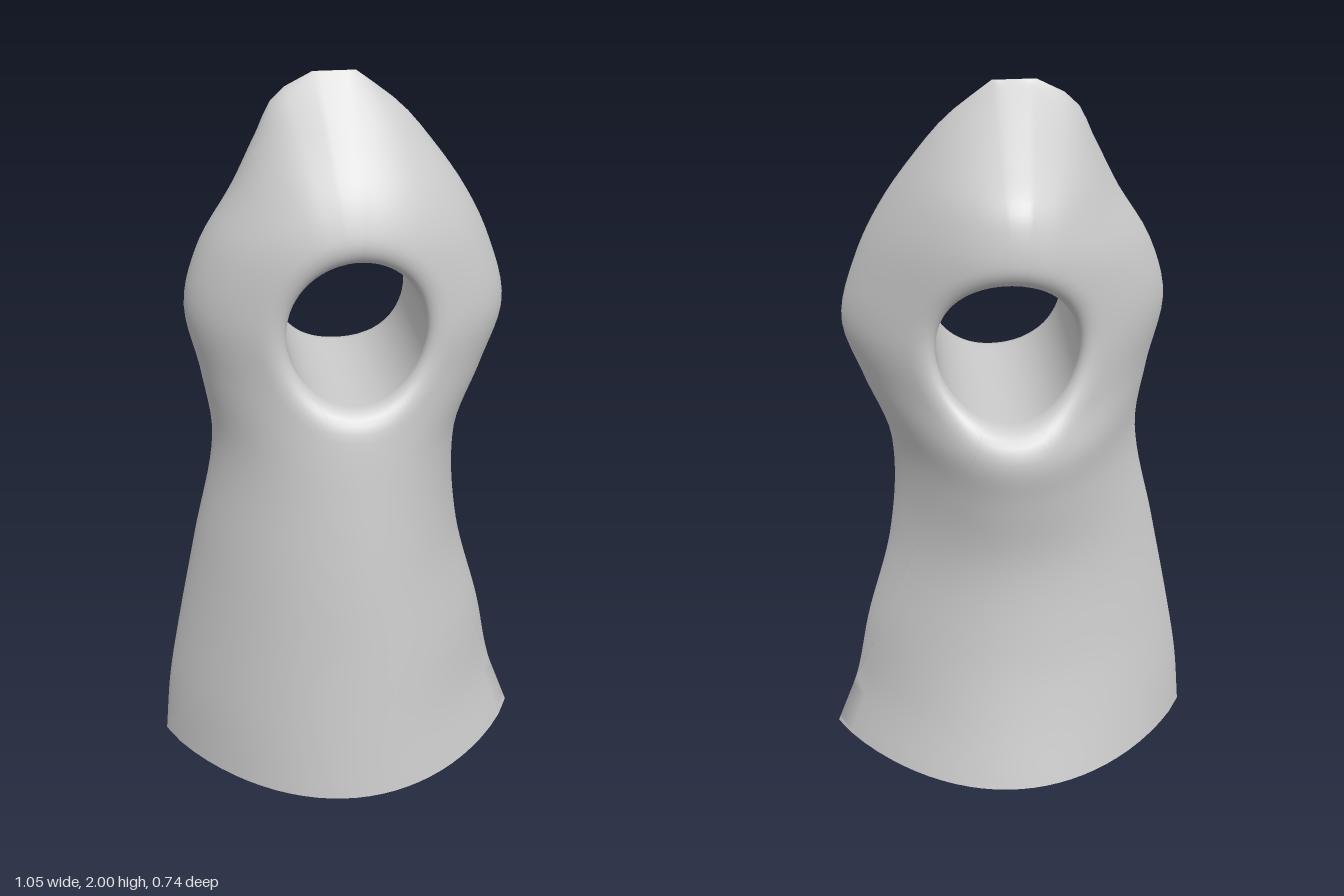
import * as THREE from 'three';
import { mergeVertices } from 'three/addons/utils/BufferGeometryUtils.js';

// Smooth curve through [y, value] pairs
function profile(pts) {
  const slope = (i) => {
    const a = pts[Math.max(i - 1, 0)], b = pts[Math.min(i + 1, pts.length - 1)];
    return (b[1] - a[1]) / (b[0] - a[0]);
  };
  return (y) => {
    let i = 0;
    while (i < pts.length - 2 && y > pts[i + 1][0]) i++;
    const [y0, v0] = pts[i], [y1, v1] = pts[i + 1], h = y1 - y0;
    const t = THREE.MathUtils.clamp((y - y0) / h, 0, 1), t2 = t * t, t3 = t2 * t;
    return (2 * t3 - 3 * t2 + 1) * v0 + (t3 - 2 * t2 + t) * h * slope(i)
      + (3 * t2 - 2 * t3) * v1 + (t3 - t2) * h * slope(i + 1);
  };
}

// Silhouette edges and centre-line depths by height
const rightEdge = profile([[0, -0.53], [0.2, -0.51], [0.4, -0.475], [0.7, -0.415], [1, -0.355], [1.2, -0.378],
  [1.4, -0.415], [1.57, -0.37], [1.72, -0.28], [1.85, -0.215], [1.95, -0.16], [2, -0.07]]);
const leftEdge = profile([[0, 0.525], [0.18, 0.46], [0.4, 0.415], [0.7, 0.338], [1, 0.322], [1.2, 0.39],
  [1.37, 0.44], [1.55, 0.395], [1.7, 0.32], [1.85, 0.21], [1.92, 0.145], [2, 0.04]]);
const frontDepth = profile([[0, 0.375], [0.4, 0.34], [0.7, 0.315], [1, 0.28], [1.2, 0.25], [1.4, 0.245],
  [1.6, 0.24], [1.72, 0.2], [1.85, 0.11], [2, 0]]);
const backDepth = profile([[0, -0.37], [0.2, -0.315], [0.4, -0.275], [0.7, -0.255], [0.95, -0.3], [1.08, -0.328],
  [1.2, -0.3], [1.4, -0.285], [1.63, -0.312], [1.72, -0.3], [1.78, -0.27], [1.85, -0.19], [1.93, -0.09], [2, 0]]);

const HOLE = { x: 0.02, y: 1.365, rx: 0.183, ry: 0.2 };
const RIM = 0.07;

// Lens-shaped section depth, softened toward the hole (d = distance from its edge)
function depth(x, y, d, front) {
  const s = Math.min(1, x < 0 ? x / rightEdge(y) : x / leftEdge(y));
  const mid = -0.02 * Math.max(0, 1 - y / 1.4);
  const q = front ? THREE.MathUtils.lerp(0.85, 0.62, Math.min(1, y / 1.2)) : 0.88;
  const lens = Math.pow(Math.max(0, 1 - s * s), q);
  const k = Math.max(0, 1 - d / RIM);
  const rim = 1 - 0.22 * (1 - Math.sqrt(1 - k * k));
  return mid + ((front ? frontDepth(y) : backDepth(y)) - mid) * lens * rim;
}

// Outline, anticlockwise: foot, left side, crown, right side
function outline() {
  const pts = [], n = 56, foot = 28, crown = 6;
  for (let i = 0; i < foot; i++) pts.push([THREE.MathUtils.lerp(rightEdge(0), leftEdge(0), i / foot), 0]);
  for (let i = 0; i < n; i++) pts.push([leftEdge(2 * i / n), 2 * i / n]);
  for (let i = 0; i < crown; i++) pts.push([THREE.MathUtils.lerp(leftEdge(2), rightEdge(2), i / crown), 2]);
  for (let i = n; i > 0; i--) pts.push([rightEdge(2 * i / n), 2 * i / n]);
  return pts;
}

export function createModel() {
  const edge = outline(), N = edge.length, M = 36, WALL = 8;

  // Each column runs from the hole over the front, round the outline, over the back and through the hole
  const columns = edge.map(([ex, ey]) => {
    const dx = ex - HOLE.x, dy = ey - HOLE.y;
    const r = 1 / Math.hypot(dx / HOLE.rx, dy / HOLE.ry);
    const hx = HOLE.x + dx * r, hy = HOLE.y + dy * r;
    const length = Math.hypot(ex - hx, ey - hy);
    const side = (front) => Array.from({ length: M + 1 }, (_, j) => {
      const v = 0.5 - 0.5 * Math.cos(Math.PI * j / M);
      const x = THREE.MathUtils.lerp(hx, ex, v), y = THREE.MathUtils.lerp(hy, ey, v);
      return [x, y, depth(x, y, v * length, front)];
    });
    const f = side(true), b = side(false).reverse();
    const z0 = b[M][2], z1 = f[0][2];
    const wall = Array.from({ length: WALL }, (_, j) => [hx, hy, THREE.MathUtils.lerp(z0, z1, (j + 1) / WALL)]);
    return [...f, ...b, ...wall];
  });

  // Strips between neighbouring columns; the strip across the foot becomes the base
  const bodyPos = [], basePos = [];
  for (let i = 0; i < N; i++) {
    const p = columns[i], q = columns[(i + 1) % N];
    for (let j = 0; j < p.length - 1; j++) {
      if (j === M && p[j][1] + q[j][1] > 0) continue;
      const target = j === M ? basePos : bodyPos;
      target.push(...p[j], ...p[j + 1], ...q[j + 1], ...p[j], ...q[j + 1], ...q[j]);
    }
  }

  const material = new THREE.MeshStandardMaterial({ color: 0xcccccc });
  const group = new THREE.Group();
  for (const [name, pos] of [['body', bodyPos], ['base', basePos]]) {
    let geometry = new THREE.BufferGeometry();
    geometry.setAttribute('position', new THREE.Float32BufferAttribute(pos, 3));
    geometry = mergeVertices(geometry, 1e-4);
    geometry.computeVertexNormals();
    const mesh = new THREE.Mesh(geometry, material);
    mesh.name = name;
    group.add(mesh);
  }
  return group;
}
